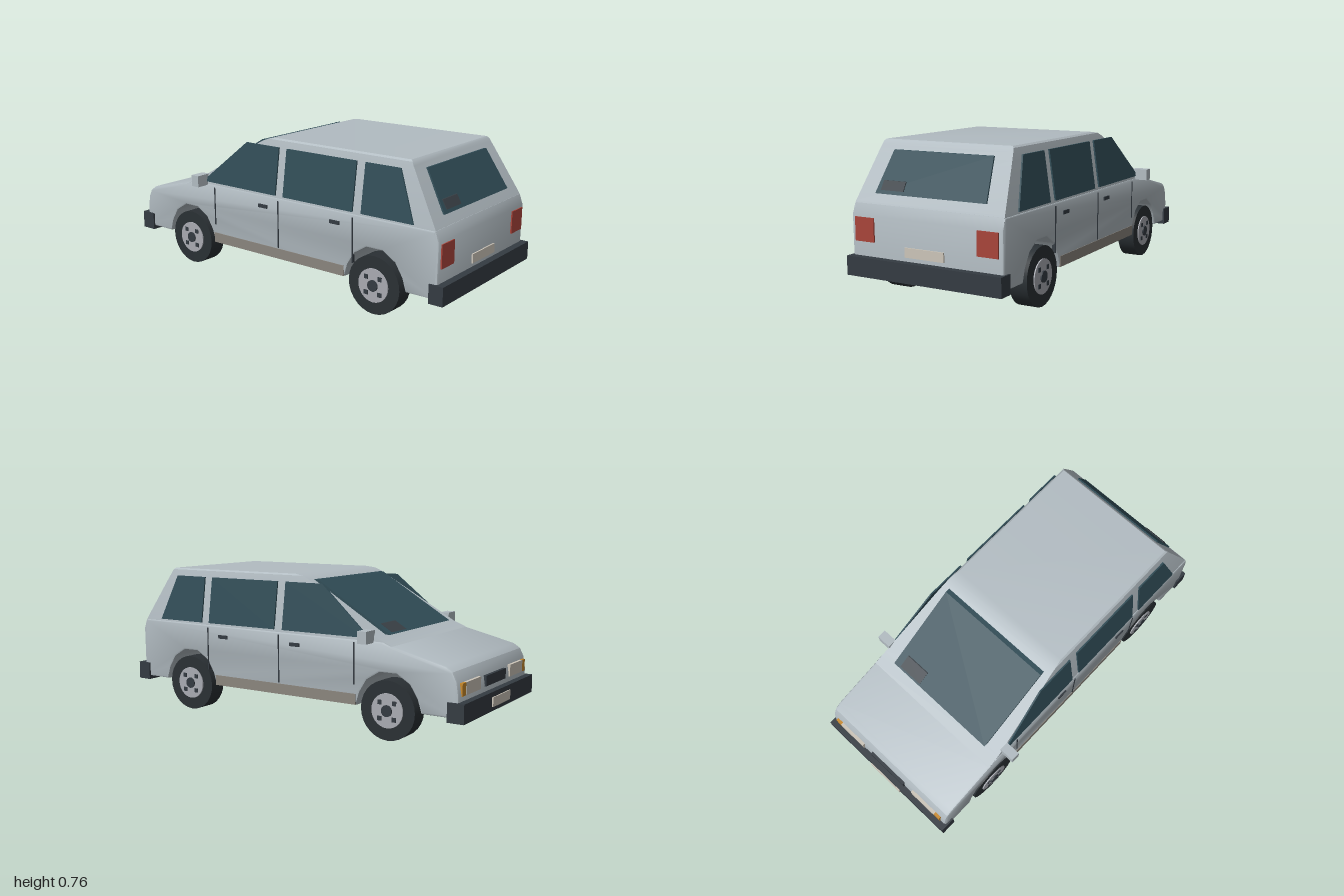
import * as THREE from 'three';
import { toCreasedNormals } from 'three/addons/utils/BufferGeometryUtils.js';

const mat = (color, side = THREE.FrontSide) => new THREE.MeshStandardMaterial({ color, side });
const paint = mat(0xb2bcc2), glass = mat(0x304c56), dark = mat(0x343b42), rubber = mat(0x2a3034);
const rimGrey = mat(0xa9abb2), sillGrey = mat(0x8a857d), red = mat(0xa8443a), cream = mat(0xcbc4b8);
const amber = mat(0xc98a2c), trim = mat(0x3a4147);

const WHEELS = [0.62, -0.6], AXLE_Y = 0.145;

export function createModel() {
  const car = new THREE.Group();
  car.name = 'car';

  const add = (name, geo, material, parent = car) => {
    const mesh = new THREE.Mesh(geo, material);
    mesh.name = name;
    parent.add(mesh);
    return mesh;
  };
  // Box given by its extents on each axis
  const box = (name, material, [x0, x1], [y0, y1], [z0, z1]) => {
    const mesh = add(name, new THREE.BoxGeometry(Math.abs(x1 - x0), y1 - y0, Math.abs(z1 - z0)), material);
    mesh.position.set((x0 + x1) / 2, (y0 + y1) / 2, (z0 + z1) / 2);
    return mesh;
  };
  const outline = pts => new THREE.Shape(pts.map(p => new THREE.Vector2(...p)));
  // Moves every vertex by a rule
  const warp = (geo, rule) => {
    const p = geo.attributes.position, v = new THREE.Vector3();
    for (let i = 0; i < p.count; i++) {
      rule(v.fromBufferAttribute(p, i));
      p.setXYZ(i, v.x, v.y, v.z);
    }
    return toCreasedNormals(geo, 0.5);
  };
  const plate = (pts, depth) =>
    new THREE.ExtrudeGeometry(outline(pts), { depth, bevelEnabled: false }).translate(0, 0, -depth / 2);

  // Lower body: side profile (z, y) with both wheel arches cut across
  const arch = c => [[0.175, 0.15], [0.155, 0.215], [0.115, 0.28], [0.045, 0.323],
    [-0.045, 0.323], [-0.115, 0.28], [-0.155, 0.215], [-0.175, 0.15]].map(([z, y]) => [c + z, y]);
  const profile = [
    [-0.96, 0.15], ...arch(WHEELS[1]).reverse(), ...arch(WHEELS[0]).reverse(),
    [0.962, 0.15], [0.965, 0.42], [0.945, 0.472], [-0.57, 0.468], [-0.62, 0.45],
    [-0.895, 0.385], [-0.93, 0.362], [-0.95, 0.32], [-0.96, 0.26],
  ];
  const lower = new THREE.ExtrudeGeometry(outline(profile), {
    depth: 0.806, bevelThickness: 0.012, bevelSize: 0.01, bevelOffset: -0.01, bevelSegments: 2,
  }).translate(0, 0, -0.403).rotateY(-Math.PI / 2);
  add('lowerBody', toCreasedNormals(lower, 0.5), paint);

  // Cabin: rectangular sections [y, rear z, front z, half width] joined upwards
  const sections = [
    [0.45, 0.953, -0.62, 0.411], [0.48, 0.94, -0.545, 0.408], [0.7, 0.812, -0.178, 0.369],
    [0.735, 0.791, -0.12, 0.362], [0.752, 0.782, -0.08, 0.358], [0.76, 0.772, -0.03, 0.348],
  ];
  const rings = sections.map(([y, r, f, w]) => [[-w, y, r], [w, y, r], [w, y, f], [-w, y, f]]);
  const verts = [];
  const quad = (a, b, c, d) => verts.push(...a, ...b, ...c, ...a, ...c, ...d);
  for (let i = 0; i < rings.length - 1; i++)
    for (let k = 0; k < 4; k++) {
      const n = (k + 1) % 4;
      quad(rings[i][k], rings[i][n], rings[i + 1][n], rings[i + 1][k]);
    }
  quad(...rings[rings.length - 1]);
  const cabin = new THREE.BufferGeometry();
  cabin.setAttribute('position', new THREE.Float32BufferAttribute(verts, 3));
  add('cabin', toCreasedNormals(cabin, 0.5), paint);

  // Windscreen and rear window, slanted by height
  const frontZ = y => -0.15 - (0.735 - y) * 1.673 + 0.012;
  const rearZ = y => 0.806 + (0.715 - y) * 0.582;
  const slantPane = (name, pts, depth, zAt, material) =>
    add(name, warp(plate(pts, depth), v => { v.z += zAt(v.y); }), material);
  const rect = (x0, x1, y0, y1) => [[x0, y0], [x1, y0], [x1, y1], [x0, y1]];
  slantPane('windscreen', rect(-0.325, 0.325, 0.49, 0.735), 0.024, frontZ, glass);
  slantPane('rearWindow', [[-0.305, 0.52], [0.305, 0.52], [0.275, 0.715], [-0.275, 0.715]], 0.012, rearZ, glass);
  slantPane('windscreenPatch', rect(0.145, 0.285, 0.498, 0.535), 0.034, frontZ, trim);
  slantPane('rearWindowPatch', rect(-0.275, -0.147, 0.537, 0.58), 0.022, rearZ, trim);

  // Side windows, outlines in (z, y)
  const sideWindows = {
    rearQuarterWindow: [[0.54, 0.48], [0.83, 0.48], [0.735, 0.72], [0.54, 0.72]],
    rearDoorWindow: [[0.06, 0.48], [0.49, 0.48], [0.49, 0.72], [0.06, 0.72]],
    frontDoorWindow: [[-0.48, 0.48], [0.01, 0.48], [0.01, 0.72], [-0.21, 0.72], [-0.47, 0.505]],
  };

  for (const s of [1, -1]) {
    const side = s > 0 ? 'left' : 'right';
    const span = (a, b) => [s * a, s * b];
    for (const [name, pts] of Object.entries(sideWindows)) {
      const geo = plate(pts, 0.008).rotateY(-Math.PI / 2);
      add(`${side} ${name}`, warp(geo, v => { v.x += s * (0.411 - (v.y - 0.48) * 0.146); }), glass);
    }
    // Door seams, handles, sill and mirror
    for (const [z, y0] of [[0.495, 0.23], [0.03, 0.21], [-0.415, 0.25]])
      box(`${side} doorSeam`, dark, span(0.4, 0.418), [y0, 0.455], [z - 0.003, z + 0.003]);
    for (const z of [0.39, -0.07])
      box(`${side} doorHandle`, dark, span(0.4, 0.422), [0.404, 0.422], [z - 0.029, z + 0.029]);
    box(`${side} sill`, sillGrey, span(0.39, 0.418), [0.152, 0.205], [-0.425, 0.445]);
    box(`${side} mirror`, paint, span(0.4, 0.48), [0.46, 0.52], [-0.52, -0.472]);
    // Lamps
    box(`${side} tailLamp`, red, span(0.283, 0.392), [0.295, 0.41], [0.95, 0.971]);
    box(`${side} headlamp`, cream, span(0.18, 0.345), [0.25, 0.31], [-0.967, -0.93]);
    box(`${side} indicator`, amber, span(0.345, 0.383), [0.25, 0.31], [-0.966, -0.93]);

    // Wheels, built along +x
    for (const z of WHEELS) {
      const wheel = new THREE.Group();
      wheel.name = `${side} ${z > 0 ? 'rear' : 'front'}Wheel`;
      const disc = (name, r, x0, x1, material) =>
        add(name, new THREE.CylinderGeometry(r, r, x1 - x0, 28).rotateZ(-Math.PI / 2)
          .translate((x0 + x1) / 2, 0, 0), material, wheel);
      disc('tyre', 0.145, 0.32, 0.414, rubber);
      disc('rim', 0.084, 0.4, 0.42, rimGrey);
      disc('hub', 0.028, 0.41, 0.427, dark);
      for (const a of [-1, 1])
        for (const b of [-1, 1])
          add('rimHole', new THREE.BoxGeometry(0.016, 0.022, 0.022).translate(0.415, a * 0.039, b * 0.039), dark, wheel);
      wheel.position.set(0, AXLE_Y, z);
      if (s < 0) wheel.rotation.y = Math.PI;
      car.add(wheel);
    }
  }

  // Bumpers, grille and number plates
  box('rearBumper', dark, [-0.424, 0.424], [0.132, 0.225], [0.925, 1]);
  box('frontBumper', dark, [-0.424, 0.424], [0.132, 0.225], [-0.994, -0.91]);
  box('grille', dark, [-0.12, 0.12], [0.252, 0.303], [-0.968, -0.93]);
  box('rearPlate', cream, [-0.107, 0.107], [0.245, 0.291], [0.95, 0.971]);
  box('frontPlate', cream, [-0.107, 0.107], [0.153, 0.2], [-1, -0.98]);

  return car;
}
